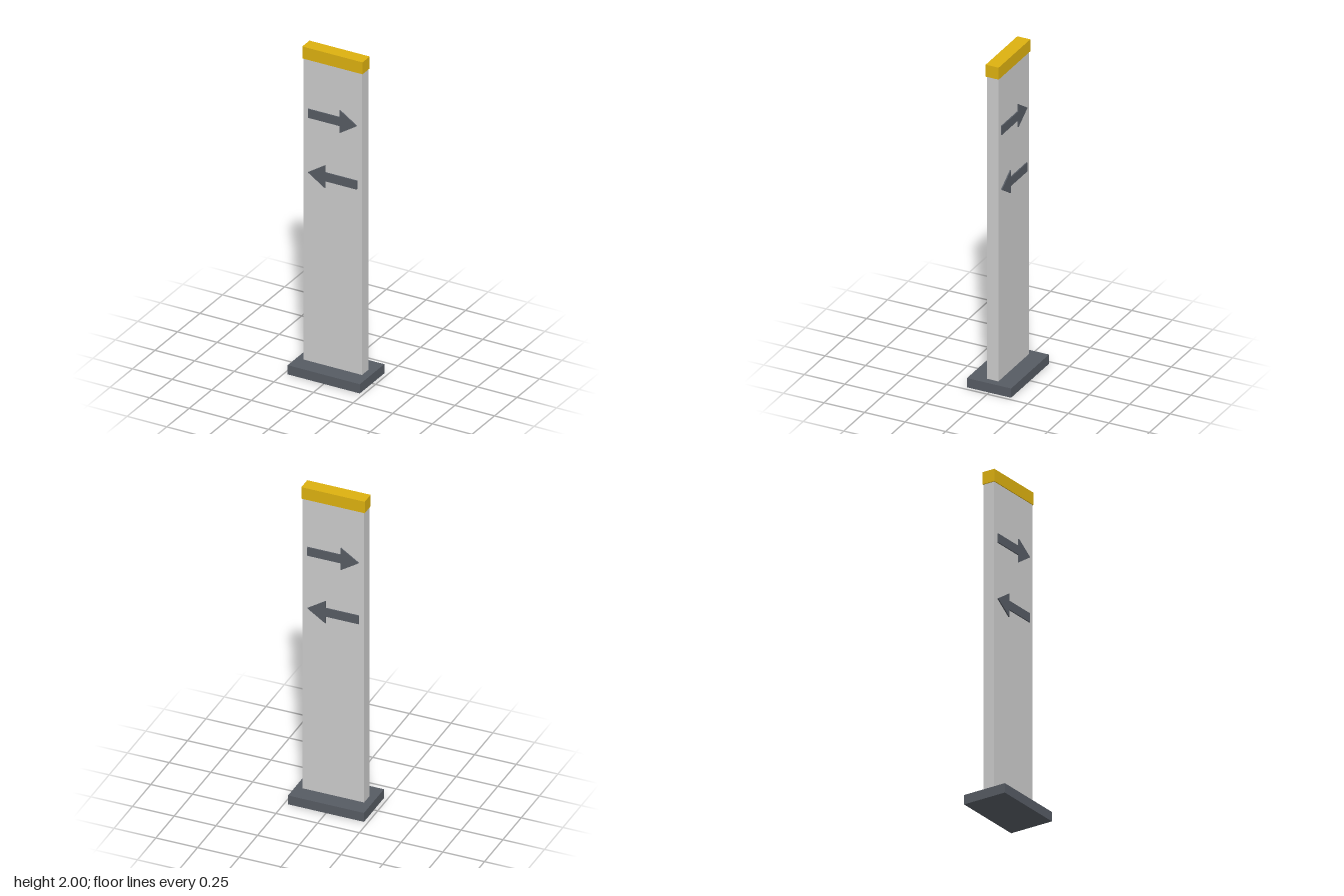
import * as THREE from 'three';

export function createModel() {
  const group = new THREE.Group();
  const material = (color) => new THREE.MeshStandardMaterial({ color });
  const grey = material(0xcccccc);
  const dark = material(0x565b63);
  const yellow = material(0xdcb010);

  const addBox = (name, width, depth, bottom, top, mat) => {
    const mesh = new THREE.Mesh(new THREE.BoxGeometry(width, top - bottom, depth), mat);
    mesh.position.y = (top + bottom) / 2;
    mesh.name = name;
    group.add(mesh);
  };

  // Foot plate, upright slab and overhanging cap
  addBox('base', 0.455, 0.272, 0, 0.057, dark);
  addBox('panel', 0.368, 0.07, 0.057, 1.926, grey);
  addBox('cap', 0.38, 0.08, 1.926, 2, yellow);

  // Raised arrow pointing to +x, slightly sunk into the panel
  const outline = [
    [-0.154, -0.027], [0.046, -0.027], [0.046, -0.071], [0.154, 0],
    [0.046, 0.071], [0.046, 0.027], [-0.154, 0.027],
  ].map(([x, y]) => new THREE.Vector2(x, y));
  const arrowGeometry = new THREE.ExtrudeGeometry(new THREE.Shape(outline), {
    depth: 0.012, bevelEnabled: false,
  });
  arrowGeometry.translate(0, 0, -0.006);

  // The same pair of arrows on each face, the back being a half turn of the front
  for (const side of ['front', 'back']) {
    const arrows = new THREE.Group();
    arrows.name = side + 'Arrows';
    arrows.rotation.y = side === 'front' ? 0 : Math.PI;
    [['upperArrow', 1.595, 0], ['lowerArrow', 1.229, Math.PI]].forEach(([name, y, turn]) => {
      const arrow = new THREE.Mesh(arrowGeometry, dark);
      arrow.name = name;
      arrow.position.set(0, y, 0.036);
      arrow.rotation.z = turn;
      arrows.add(arrow);
    });
    group.add(arrows);
  }

  return group;
}
